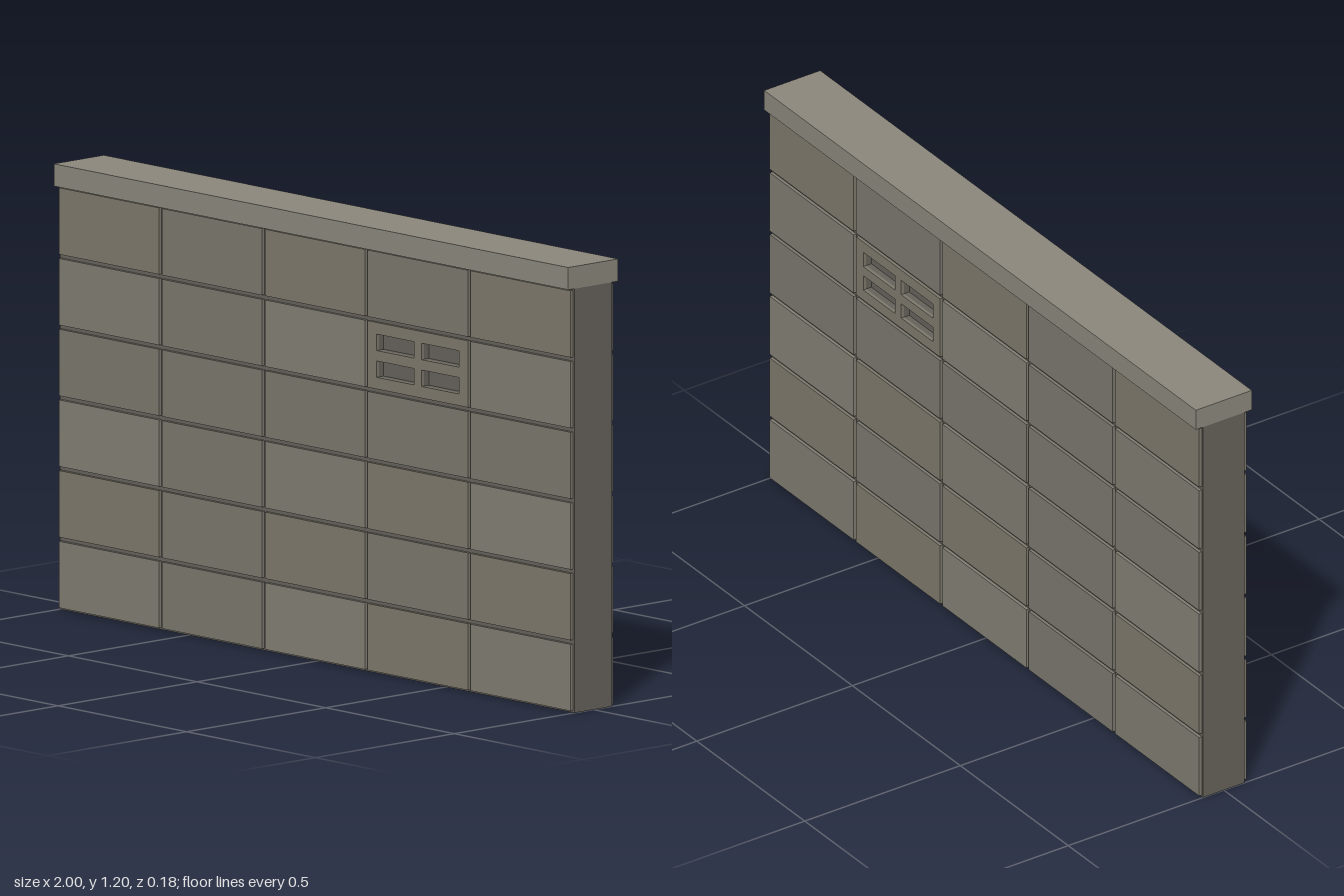
import * as THREE from 'three';

const COLS = 5, ROWS = 6, CW = 0.4, RH = 0.19, GAP = 0.011;
const WALL_H = ROWS * RH, CORE_Z = 0.067, PANEL_Z = 0.076, SLOT_Z = 0.05;
const VENT_COL = 3, VENT_ROW = 4;

const mat = (color) => new THREE.MeshStandardMaterial({ color, flatShading: true });

// rectangle outline, wound either way for a shape or a hole
function rect(Type, x0, y0, x1, y1) {
  const p = new Type();
  p.moveTo(x0, y0);
  p.lineTo(x1, y0);
  p.lineTo(x1, y1);
  p.lineTo(x0, y1);
  p.closePath();
  return p;
}

// slab with the four vent slots cut through it
function slottedSlab(x0, y0, x1, y1, depth) {
  const shape = rect(THREE.Shape, x0, y0, x1, y1);
  const cx = (VENT_COL - 2) * CW, cy = (VENT_ROW + 0.5) * RH;
  for (const sx of [-1, 1]) for (const sy of [-1, 1]) {
    const x = cx + sx * 0.088, y = cy + sy * 0.036;
    shape.holes.push(rect(THREE.Path, x - 0.073, y - 0.022, x + 0.073, y + 0.022));
  }
  return new THREE.ExtrudeGeometry(shape, { depth, bevelEnabled: false });
}

export function createModel() {
  const model = new THREE.Group();
  const coreMat = mat(0x65615a);
  const capMat = mat(0x8a867b);
  const tones = [0x7f7b71, 0x7a776d, 0x827e74, 0x7d786c].map(mat);

  const add = (name, geometry, material, x = 0, y = 0, z = 0) => {
    const mesh = new THREE.Mesh(geometry, material);
    mesh.name = name;
    mesh.position.set(x, y, z);
    model.add(mesh);
  };

  // solid middle of the wall, and the coping on top
  add('core', new THREE.BoxGeometry(2, WALL_H, SLOT_Z * 2), coreMat, 0, WALL_H / 2);
  add('coping', new THREE.BoxGeometry(2, 0.06, 0.18), capMat, 0, WALL_H + 0.03);

  const panelDepth = PANEL_Z - CORE_Z;
  const panelGeo = new THREE.BoxGeometry(CW - GAP, RH - GAP, panelDepth);
  const skinGeo = slottedSlab(-1, 0, 1, WALL_H, CORE_Z - SLOT_Z);
  const vx = (VENT_COL - 2) * CW, vy = (VENT_ROW + 0.5) * RH;
  const w = (CW - GAP) / 2, h = (RH - GAP) / 2;
  const ventGeo = slottedSlab(vx - w, vy - h, vx + w, vy + h, panelDepth);

  // both faces: recessed skin behind the joints, then the grid of panels
  for (const side of [1, -1]) {
    const face = side > 0 ? 'front' : 'back';
    add(face + 'Skin', skinGeo, coreMat, 0, 0, side > 0 ? SLOT_Z : -CORE_Z);
    for (let r = 0; r < ROWS; r++) for (let c = 0; c < COLS; c++) {
      const tone = tones[(r * 7 + c * 5 + r * c) % tones.length];
      if (r === VENT_ROW && c === VENT_COL) {
        add(face + 'VentPanel', ventGeo, tone, 0, 0, side > 0 ? CORE_Z : -PANEL_Z);
      } else {
        add(face + 'Panel', panelGeo, tone,
          (c - 2) * CW, (r + 0.5) * RH, side * (CORE_Z + panelDepth / 2));
      }
    }
  }
  return model;
}
